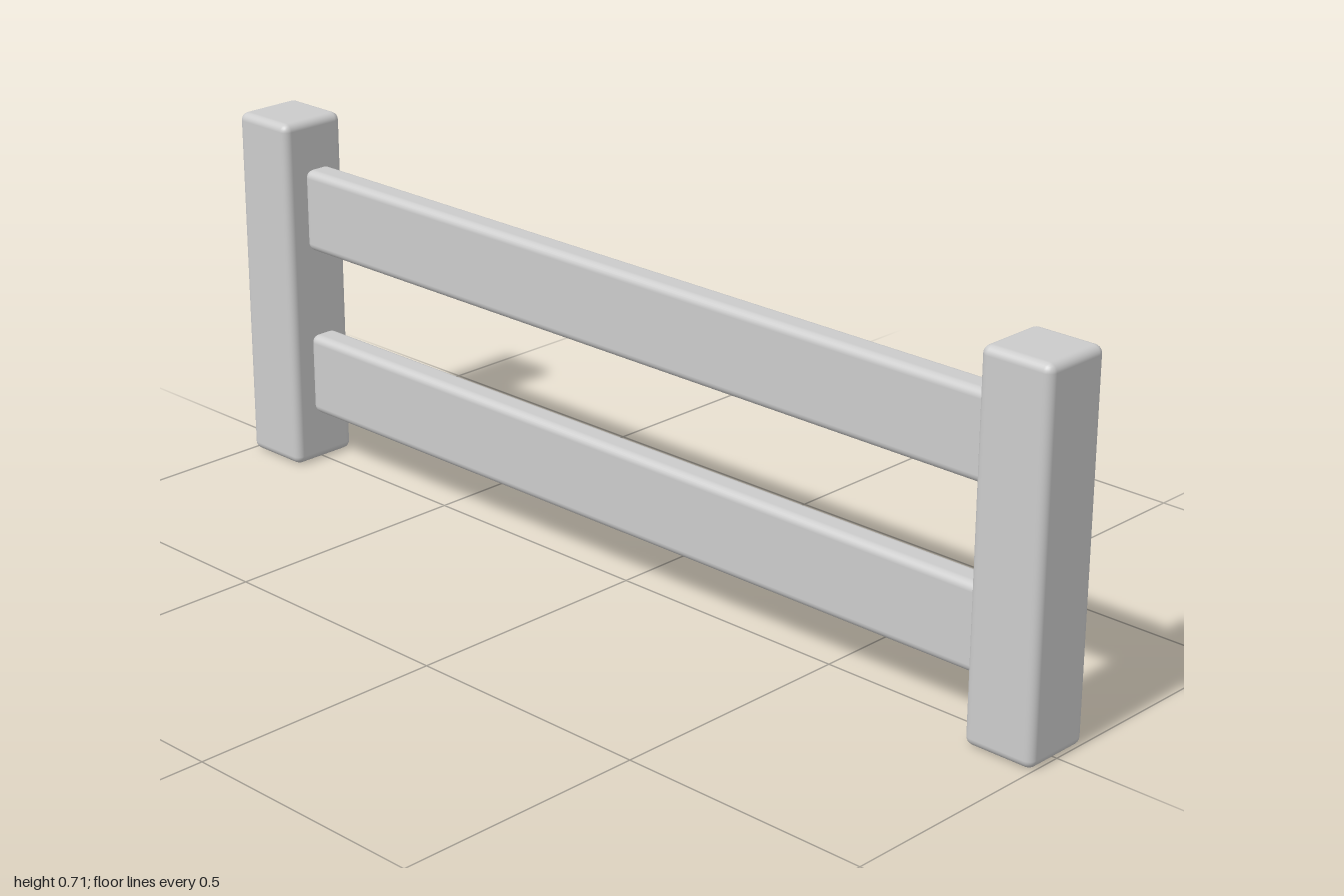
import * as THREE from 'three';
import { RoundedBoxGeometry } from 'three/addons/geometries/RoundedBoxGeometry.js';

const POST = { width: 0.143, height: 0.714 };
const RAIL = { length: 1.714, height: 0.166, depth: 0.06 };
const BEVEL = 0.016;

export function createModel() {
  const group = new THREE.Group();
  group.name = 'fence';
  const material = new THREE.MeshStandardMaterial({ color: 0xcccccc });

  function addBeam(name, width, height, depth, x, y) {
    const mesh = new THREE.Mesh(new RoundedBoxGeometry(width, height, depth, 3, BEVEL), material);
    mesh.name = name;
    mesh.position.set(x, y, 0);
    group.add(mesh);
  }

  // Square end posts, standing on the ground
  for (const [name, side] of [['leftPost', 1], ['rightPost', -1]]) {
    addBeam(name, POST.width, POST.height, POST.width, side * (1 - POST.width / 2), POST.height / 2);
  }

  // Flat horizontal rails butting against the posts
  for (const [name, y] of [['lowerRail', 0.19], ['upperRail', 0.534]]) {
    addBeam(name, RAIL.length, RAIL.height, RAIL.depth, 0, y);
  }

  return group;
}
